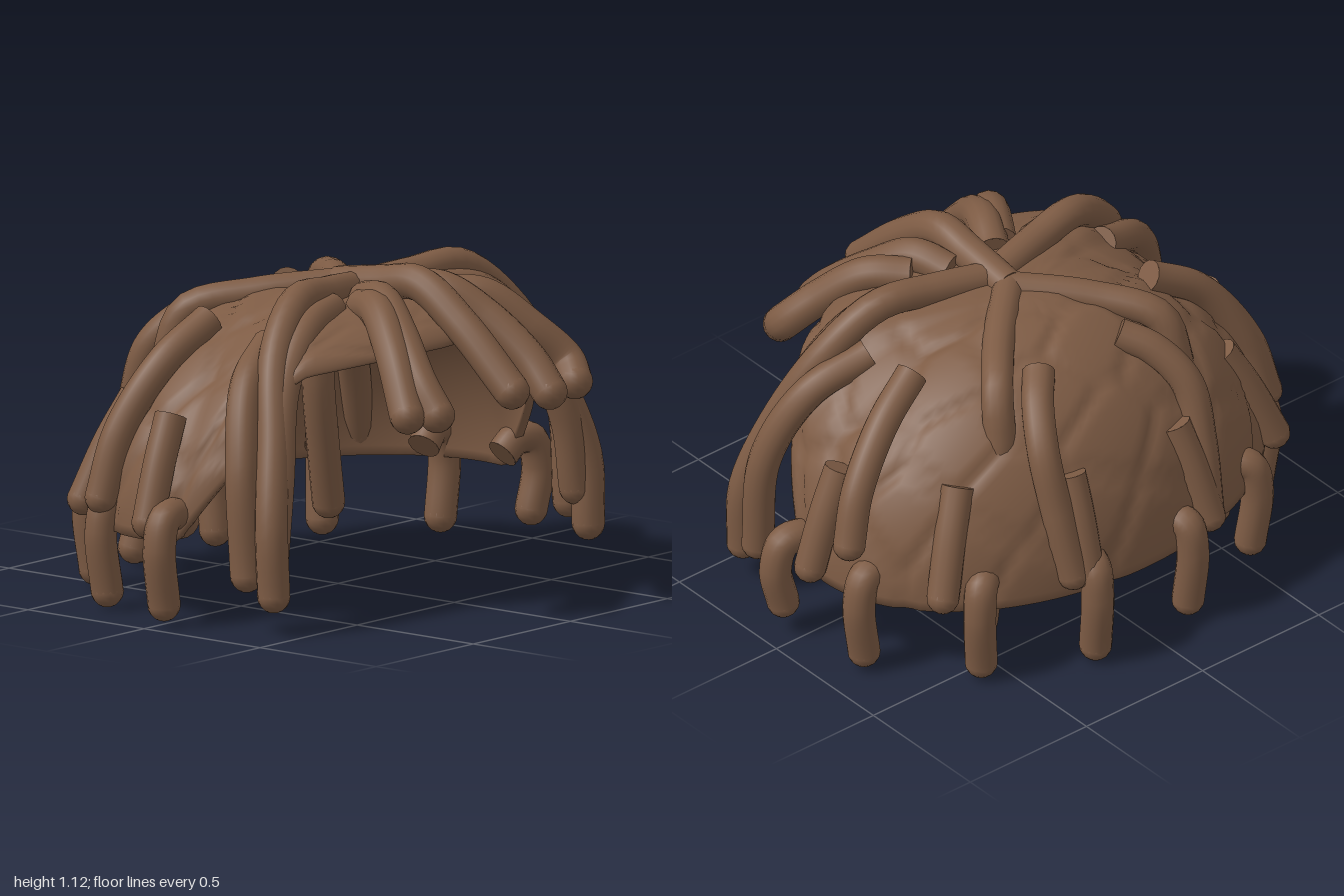
import * as THREE from 'three';
import { mergeGeometries } from 'three/addons/utils/BufferGeometryUtils.js';

const brown = new THREE.MeshStandardMaterial({ color: 0x7d5b44 });
brown.name = 'brown hair';

const TOP = 1.03, CZ = -0.1, RX = 0.88, RZ = 0.62;

// Height of the cap's lower edge: low at the back, rising to a brow at the front.
const EDGE = [[-1, 0.27], [0.02, 0.27], [0.2, 0.52], [0.27, 0.74], [0.36, 0.83], [0.55, 0.88]];
function edgeHeight(z) {
  for (let i = 1; i < EDGE.length; i++) {
    const [z0, y0] = EDGE[i - 1], [z1, y1] = EDGE[i];
    if (z <= z1) return y0 + (y1 - y0) * (z - z0) / (z1 - z0);
  }
  return 0.88;
}

// Seeds that divide the cap into soft panels.
const SEEDS = [];
for (let i = 0; i < 46; i++) {
  const y = 1 - i / 46, a = i * 2.39996, r = Math.sqrt(1 - y * y);
  SEEDS.push(new THREE.Vector3(r * Math.sin(a), y, r * Math.cos(a)));
}
function groove(p) {
  let d1 = 9, d2 = 9;
  for (const s of SEEDS) {
    const d = s.distanceTo(p);
    if (d < d1) { d2 = d1; d1 = d; } else if (d < d2) d2 = d;
  }
  return -0.018 * Math.max(0, 1 - (d2 - d1) / 0.09);
}

// Hollow cap: outer rings run down to the edge, inner rings run back up.
function capGeometry() {
  const rings = 36, segs = 144, pos = [], index = [];
  const p = new THREE.Vector3();
  for (let i = 0; i <= rings * 2 + 1; i++) {
    const inner = i > rings;
    const t = (inner ? rings * 2 + 1 - i : i) / rings * Math.PI / 2;
    for (let j = 0; j < segs; j++) {
      const a = j / segs * Math.PI * 2;
      const low = edgeHeight(CZ + RZ * Math.cos(a));
      p.set(Math.sin(t) * Math.sin(a), Math.cos(t), Math.sin(t) * Math.cos(a));
      const k = inner ? 0.965 : 1 + groove(p);
      const top = inner ? TOP - 0.03 : TOP;
      pos.push(p.x * RX * k, low + (top - low) * p.y * (inner ? 1 : k), CZ + p.z * RZ * k);
    }
  }
  for (let i = 0; i < rings * 2 + 1; i++) {
    for (let j = 0; j < segs; j++) {
      const n = (j + 1) % segs, a = i * segs + j, b = i * segs + n;
      index.push(a, a + segs, b, b, a + segs, b + segs);
    }
  }
  const g = new THREE.BufferGeometry();
  g.setAttribute('position', new THREE.Float32BufferAttribute(pos, 3));
  g.setIndex(index);
  g.computeVertexNormals();
  return g;
}

// One lock: a tube with a flat root and a rounded tip.
function lock(name, points, radius = 0.055) {
  const curve = new THREE.CatmullRomCurve3(points.map(q => new THREE.Vector3(...q)));
  const tube = new THREE.TubeGeometry(curve, 32, radius, 14);
  const tip = new THREE.SphereGeometry(radius, 14, 10);
  const end = curve.getPoint(1);
  tip.translate(end.x, end.y, end.z);
  const root = new THREE.CircleGeometry(radius, 14);
  const back = curve.getTangent(0).negate(), start = curve.getPoint(0);
  root.applyQuaternion(new THREE.Quaternion().setFromUnitVectors(new THREE.Vector3(0, 0, 1), back));
  root.translate(start.x, start.y, start.z);
  const mesh = new THREE.Mesh(mergeGeometries([tube, tip, root]), brown);
  mesh.name = name;
  return mesh;
}

// Locks that fall forward over the brow.
const FRINGE = [
  [[0, 1.01, 0], [0, 1.04, 0.2], [0, 1.055, 0.35], [0, 0.94, 0.53], [0.01, 0.74, 0.74]],
  [[0.08, 1.0, 0.2], [0.13, 1.02, 0.33], [0.2, 0.93, 0.47], [0.24, 0.8, 0.62], [0.24, 0.7, 0.71]],
  [[0.18, 0.99, 0.28], [0.28, 0.98, 0.39], [0.38, 0.87, 0.51], [0.46, 0.76, 0.6], [0.43, 0.7, 0.66]],
  [[-0.1, 1.0, 0.2], [-0.17, 1.02, 0.33], [-0.26, 0.93, 0.49], [-0.33, 0.8, 0.63], [-0.34, 0.71, 0.71]],
  [[-0.16, 0.99, 0.24], [-0.24, 1.0, 0.37], [-0.34, 0.89, 0.52], [-0.42, 0.71, 0.65]],
];

// Long locks beside the face.
const TEMPLE = [
  [[0, 1.01, 0.08], [0.22, 1.03, 0.13], [0.42, 1.035, 0.17], [0.6, 0.89, 0.23], [0.73, 0.62, 0.33], [0.81, 0.36, 0.39], [0.81, 0.13, 0.4]],
  [[0.25, 0.99, 0.18], [0.46, 0.95, 0.24], [0.63, 0.78, 0.29], [0.74, 0.5, 0.36], [0.78, 0.25, 0.37]],
  [[0.5, 0.9, 0.12], [0.7, 0.8, 0.19], [0.82, 0.55, 0.27], [0.83, 0.19, 0.3]],
];

// Crown locks dive through the cap and hang inside it, showing below the edge.
const CROWN = [[0, 1.01, 0], [0.2, 0.985, -0.19], [0.35, 0.93, -0.36], [0.38, 0.78, -0.41], [0.4, 0.55, -0.42], [0.45, 0.33, -0.44], [0.5, 0.14, -0.46]];
const INNER = [[-0.3, 0.84, -0.38], [-0.31, 0.6, -0.45], [-0.27, 0.28, -0.47]];

// Upper layer of the sides and back.
const UPPER_BACK = [[0.17, 0.94, -0.36], [0.25, 0.89, -0.45], [0.31, 0.78, -0.55], [0.31, 0.58, -0.62], [0.29, 0.35, -0.68]];
const UPPER_SIDE = [
  [[0.5, 0.94, -0.1], [0.66, 0.83, -0.14], [0.81, 0.65, -0.19], [0.87, 0.48, -0.22]],
  [[-0.46, 0.94, -0.17], [-0.65, 0.82, -0.21], [-0.79, 0.6, -0.28], [-0.85, 0.38, -0.31]],
];

// Middle layer: root and tip as [x, z, x, z].
const MIDDLE = [
  [0.79, -0.08, 0.92, -0.08], [0.56, -0.41, 0.7, -0.5], [0.23, -0.59, 0.24, -0.7],
  [-0.79, -0.06, -0.92, -0.05], [-0.6, -0.37, -0.75, -0.47], [-0.22, -0.59, -0.28, -0.7],
];

// Lowest layer: x, z and tip height of each lock.
const LOWEST = [
  [0.945, 0.07, 0.12], [0.87, -0.27, 0.065], [0.6, -0.57, 0.06], [0.23, -0.735, 0.055],
  [-0.18, -0.735, 0.06], [-0.57, -0.6, 0.06], [-0.84, -0.32, 0.06], [-0.945, 0.02, 0.07],
];

export function createModel() {
  const model = new THREE.Group();
  model.name = 'hair';

  const cap = new THREE.Mesh(capGeometry(), brown);
  cap.name = 'cap';
  model.add(cap);

  const mirror = pts => pts.map(([x, y, z]) => [-x, y, z]);
  FRINGE.forEach(p => model.add(lock('fringeLock', p, 0.06)));
  UPPER_SIDE.forEach(p => model.add(lock('upperSideLock', p)));
  TEMPLE.forEach(p => model.add(lock('leftTempleLock', p), lock('rightTempleLock', mirror(p))));
  model.add(lock('leftCrownLock', CROWN), lock('rightCrownLock', mirror(CROWN)));
  model.add(lock('leftUpperBackLock', UPPER_BACK), lock('rightUpperBackLock', mirror(UPPER_BACK)));
  model.add(lock('innerLock', INNER));

  // Each middle lock slants outward from a root half sunk in the cap.
  MIDDLE.forEach(([x0, z0, x1, z1]) => model.add(lock('middleLock', [
    [x0, 0.68, z0],
    [(x0 + x1) / 2, 0.53, (z0 + z1) / 2],
    [x1, 0.34, z1],
  ])));

  // Each low lock emerges through the cap, bends over and hangs down.
  LOWEST.forEach(([x, z, tip]) => {
    const at = (s, y) => [x * s, y, CZ + (z - CZ) * s];
    model.add(lock('lowLock', [at(0.84, 0.32), at(0.9, 0.365), at(0.97, 0.355), at(1, 0.26), at(0.97, tip)]));
  });
  return model;
}
